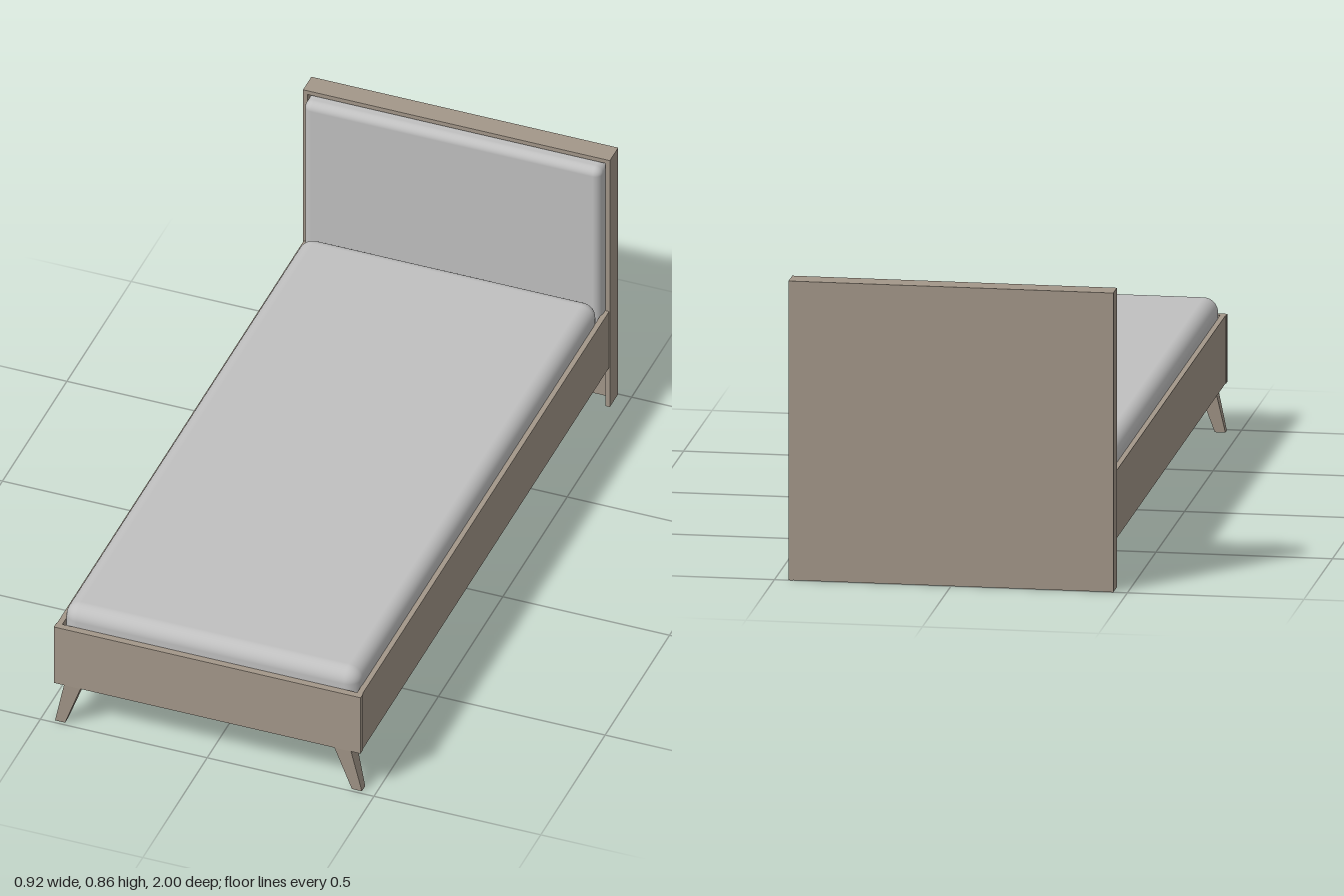
import * as THREE from 'three';
import { RoundedBoxGeometry } from 'three/addons/geometries/RoundedBoxGeometry.js';

export function createModel() {
  const bed = new THREE.Group();
  bed.name = 'bed';
  const wood = new THREE.MeshStandardMaterial({ color: 0xa39789 });
  wood.name = 'greyed wood';
  const fabric = new THREE.MeshStandardMaterial({ color: 0xc0c0c0 });
  fabric.name = 'light grey fabric';

  const add = (name, geometry, material) => {
    const mesh = new THREE.Mesh(geometry, material);
    mesh.name = name;
    bed.add(mesh);
    return mesh;
  };
  // Each board is given by its limits on the three axes
  const board = (name, x0, x1, y0, y1, z0, z1) =>
    add(name, new THREE.BoxGeometry(x1 - x0, y1 - y0, z1 - z0), wood)
      .position.set((x0 + x1) / 2, (y0 + y1) / 2, (z0 + z1) / 2);
  const padded = (name, x, y0, y1, z0, z1, radius) =>
    add(name, new RoundedBoxGeometry(2 * x, y1 - y0, z1 - z0, 6, radius), fabric)
      .position.set(0, (y0 + y1) / 2, (z0 + z1) / 2);

  // Headboard: back panel in a shallow surround, with a padded front
  board('headboardPanel', -0.447, 0.447, 0, 0.847, -0.998, -0.98);
  board('headboardTop', -0.46, 0.46, 0.847, 0.86, -1, -0.935);
  padded('headboardCushion', 0.446, 0.27, 0.844, -0.978, -0.897, 0.024);

  // Bed frame and mattress
  board('footBoard', -0.46, 0.46, 0.138, 0.333, 0.98, 1);
  board('mattressBase', -0.442, 0.442, 0.2, 0.22, -0.98, 0.98);
  padded('mattress', 0.443, 0.221, 0.392, -0.9, 0.978, 0.042);

  // Underbed drawer: box between two end panels that flare upwards
  board('drawerBox', -0.325, 0.325, 0, 0.2, -0.825, 0.77);
  const flare = new THREE.Shape([
    new THREE.Vector2(-0.325, 0), new THREE.Vector2(0.325, 0),
    new THREE.Vector2(0.405, 0.2), new THREE.Vector2(-0.405, 0.2),
  ]);
  for (const [name, z] of [['drawerFrontPanel', 0.77], ['drawerBackPanel', -0.85]]) {
    add(name, new THREE.ExtrudeGeometry(flare, { depth: 0.025, bevelEnabled: false }), wood)
      .position.z = z;
  }

  // Parts mirrored on both sides
  for (const [side, s] of [['left', 1], ['right', -1]]) {
    const mirrored = (name, x0, x1, ...rest) =>
      board(side + name, Math.min(s * x0, s * x1), Math.max(s * x0, s * x1), ...rest);
    mirrored('HeadboardPost', 0.447, 0.46, 0, 0.847, -1, -0.935);
    mirrored('SideRail', 0.442, 0.458, 0.138, 0.333, -0.935, 0.98);
    mirrored('LegBlock', 0.38, 0.43, 0.138, 0.2, 0.955, 0.98);

    // Splayed leg, tapering towards the floor
    const leg = new THREE.BoxGeometry(1, 1, 1);
    const p = leg.attributes.position;
    for (let i = 0; i < p.count; i++) {
      const top = p.getY(i) > 0;
      const x = s * (top ? 0.405 : 0.445) + p.getX(i) * (top ? 0.05 : 0.03);
      const z = (top ? 0.976 : 0.977) + p.getZ(i) * (top ? 0.044 : 0.026);
      p.setXYZ(i, x, top ? 0.138 : 0, z);
    }
    leg.computeVertexNormals();
    add(side + 'FrontLeg', leg, wood);
  }
  return bed;
}
